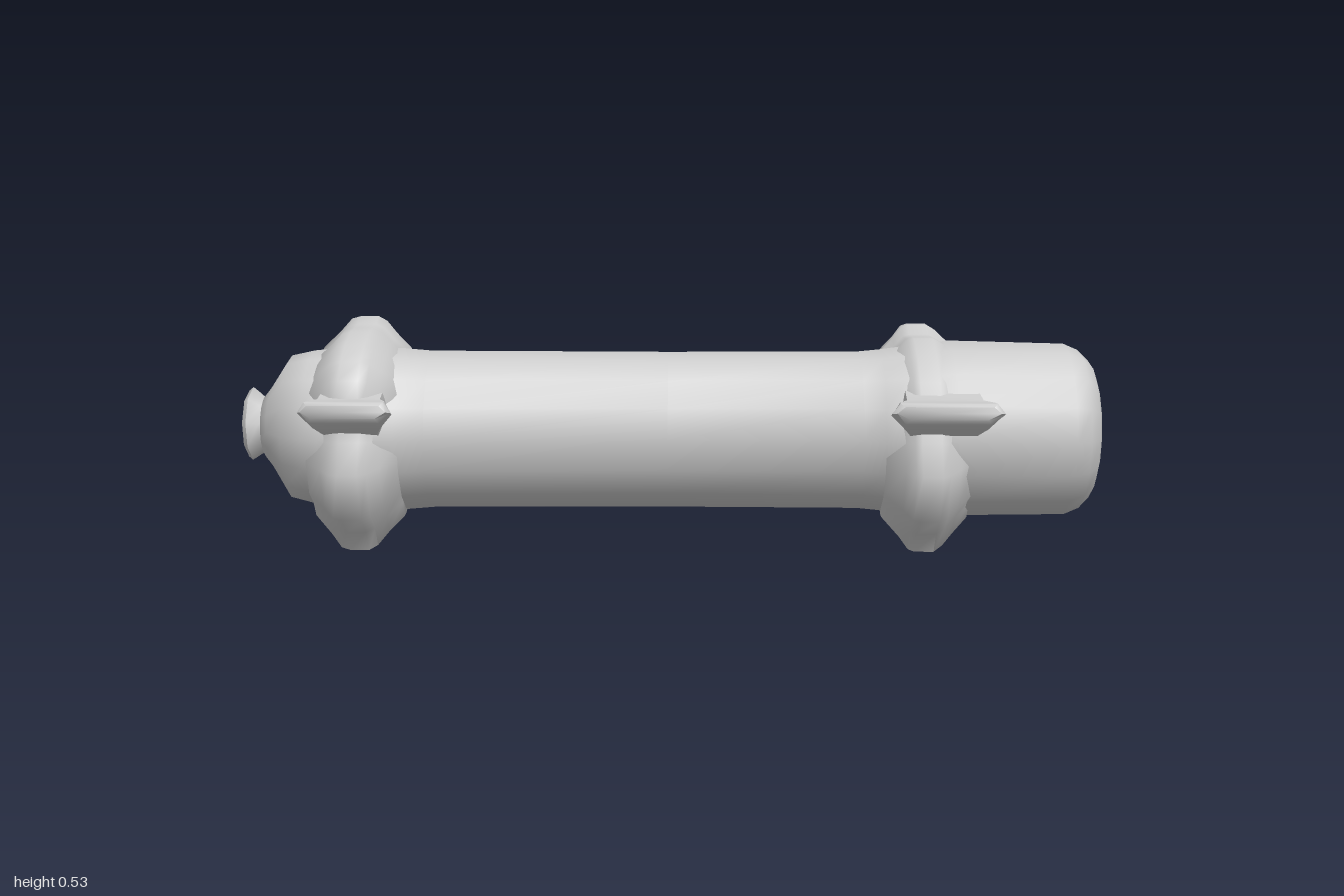
import * as THREE from 'three';
import { toCreasedNormals } from 'three/addons/utils/BufferGeometryUtils.js';

const material = new THREE.MeshStandardMaterial({ color: 0xcccccc });

// Skin over rings of [x, y, z] points, closed at both ends
function loft(rings) {
  const n = rings[0].length, index = [], points = rings.flat();
  for (let i = 0; i < rings.length - 1; i++) {
    for (let j = 0; j < n; j++) {
      const a = i * n + j, b = i * n + (j + 1) % n;
      index.push(a, b, a + n, b, b + n, a + n);
    }
  }
  const middle = (ring) => [0, 1, 2].map((k) => ring.reduce((s, p) => s + p[k], 0) / n);
  const last = (rings.length - 1) * n, c = points.length;
  points.push(middle(rings[0]), middle(rings[rings.length - 1]));
  for (let j = 0; j < n; j++) {
    const k = (j + 1) % n;
    index.push(c, k, j, c + 1, last + j, last + k);
  }
  const geometry = new THREE.BufferGeometry();
  geometry.setAttribute('position', new THREE.Float32BufferAttribute(points.flat(), 3));
  geometry.setIndex(index);
  return toCreasedNormals(geometry, 0.95);
}

// Elliptical cross-section around the x axis
function ellipse([x, cy, ry, rz], sides = 16) {
  return Array.from({ length: sides }, (_, j) => {
    const t = (j / sides) * Math.PI * 2;
    return [x, cy + ry * Math.cos(t), rz * Math.sin(t)];
  });
}

// Lumpy collar: a [z, y] outline swelling out of the body along x
function collar(outline, profile) {
  return loft(profile.map(([x, s]) => outline.map(([z, y]) => [x, 0.27 + (y - 0.27) * s, z * s])));
}

// Side fin growing along +z, from [z, half length, low y, high y] sections
function fin() {
  const sections = [
    [0.15, 0.085, 0.27, 0.385], [0.215, 0.088, 0.29, 0.37],
    [0.25, 0.108, 0.31, 0.37], [0.275, 0.11, 0.324, 0.371], [0.288, 0.1, 0.336, 0.365],
  ];
  return loft(sections.map(([z, h, lo, hi]) => {
    const mid = (lo + hi) / 2;
    return [[h, mid, z], [h * 0.85, hi, z], [-h * 0.85, hi, z],
      [-h, mid, z], [-h * 0.75, lo, z], [h * 0.75, lo, z]];
  }));
}

export function createModel() {
  const group = new THREE.Group();
  const add = (name, geometry) => {
    const mesh = new THREE.Mesh(geometry, material);
    mesh.name = name;
    group.add(mesh);
    return mesh;
  };

  // Long tube with a thick rounded cap at +x and a domed end at -x
  add('body', loft([
    [-0.96, 0.275, 0.075, 0.075], [-0.94, 0.275, 0.1, 0.1], [-0.895, 0.272, 0.172, 0.155],
    [-0.84, 0.272, 0.184, 0.19], [-0.8, 0.27, 0.19, 0.2], [-0.67, 0.268, 0.195, 0.205],
    [-0.63, 0.267, 0.195, 0.187], [-0.56, 0.267, 0.189, 0.175], [0, 0.267, 0.187, 0.163],
    [0.45, 0.267, 0.189, 0.167], [0.5, 0.267, 0.194, 0.185], [0.55, 0.268, 0.2, 0.2],
    [0.66, 0.272, 0.21, 0.21], [0.93, 0.27, 0.205, 0.2], [0.965, 0.27, 0.19, 0.187],
    [0.99, 0.27, 0.165, 0.16], [1, 0.27, 0.14, 0.13],
  ].map((s) => ellipse(s))));

  // Small button on the domed end
  add('endKnob', loft([
    [-1, 0.28, 0.08, 0.082], [-0.99, 0.28, 0.088, 0.09], [-0.965, 0.277, 0.068, 0.072],
    [-0.93, 0.275, 0.06, 0.06],
  ].map((s) => ellipse(s, 9))));

  // Upper arcs differ between the collars; the lower lugs are shared
  const lower = [
    [0.215, 0.34], [0.222, 0.27], [0.255, 0.2], [0.215, 0.09], [0.16, 0.05], [0.125, 0],
    [0.1, 0.003], [0.06, 0.025], [-0.02, 0.01], [-0.065, 0.005], [-0.11, 0.025],
    [-0.17, 0.027], [-0.2, 0.1], [-0.24, 0.145], [-0.245, 0.19], [-0.21, 0.24],
    [-0.2, 0.32], [-0.205, 0.4],
  ];
  const rearTop = [[0, 0.51], [0.05, 0.505], [0.12, 0.48], [0.17, 0.45], [0.21, 0.41]];
  const rearBack = [[-0.2, 0.47], [-0.19, 0.49], [-0.11, 0.51], [-0.08, 0.53], [-0.04, 0.515]];
  const capTop = [[0, 0.49], [0.035, 0.49], [0.1, 0.458], [0.165, 0.405]];
  const capBack = [[-0.2, 0.45], [-0.18, 0.482], [-0.12, 0.51], [-0.09, 0.51], [-0.06, 0.49]];

  add('rightCollar', collar([...rearTop, ...lower, ...rearBack],
    [[-0.83, 0.72], [-0.79, 0.87], [-0.765, 0.98], [-0.745, 1], [-0.7, 1], [-0.68, 0.96], [-0.655, 0.85], [-0.62, 0.72]]));
  add('leftCollar', collar([...capTop, ...lower, ...capBack],
    [[0.5, 0.72], [0.54, 0.88], [0.56, 0.98], [0.575, 1], [0.62, 1], [0.64, 0.95], [0.665, 0.85], [0.7, 0.72]]));

  // A fin on the front and back of each collar
  for (const [side, x, stretch] of [['right', -0.72, 0.95], ['left', 0.625, 1.15]]) {
    const front = add(side + 'FrontFin', fin());
    front.position.x = x;
    front.scale.x = stretch;
    const back = add(side + 'BackFin', fin());
    back.position.set(x, -0.012, 0);
    back.rotation.y = Math.PI;
    back.scale.x = stretch;
  }
  return group;
}
